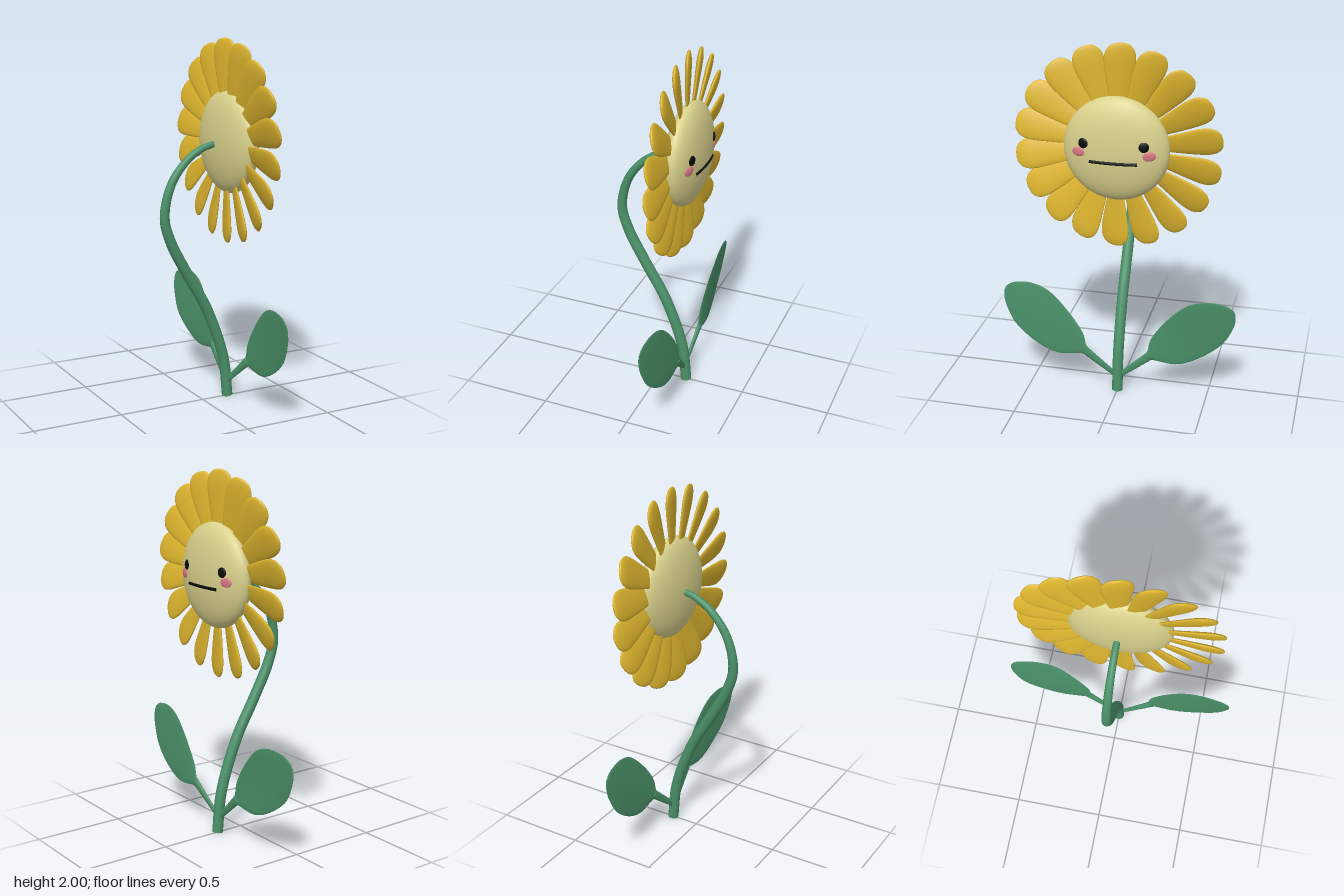
import * as THREE from 'three';
import { ParametricGeometry } from 'three/addons/geometries/ParametricGeometry.js';

const mat = (color, side = THREE.FrontSide) => new THREE.MeshStandardMaterial({ color, side });
const GREEN = mat(0x4a9068, THREE.DoubleSide);
const YELLOW = mat(0xdcb42e);
const CREAM = mat(0xd9d18c);
const BLACK = mat(0x0a0a0a);
const PINK = mat(0xd97885);

const V2 = (a) => a.map(([x, y]) => new THREE.Vector2(x, y));
const HEAD = new THREE.Vector3(0.158, 1.447, 0);
const HEAD_R = 0.281, HEAD_D = 0.095;

function add(parent, name, geometry, material) {
  const m = new THREE.Mesh(geometry, material);
  m.name = name;
  parent.add(m);
  return m;
}

// Point on the front of the flattened head
function onFace(y, z, lift = 0) {
  const k = ((y - HEAD.y) ** 2 + z * z) / HEAD_R ** 2;
  return new THREE.Vector3(HEAD.x + HEAD_D * Math.sqrt(1 - k) + lift, y, z);
}

// Flattened spot lying on the face
function faceSpot(parent, name, y, z, ry, rz, material) {
  const m = add(parent, name, new THREE.SphereGeometry(1, 24, 14), material);
  const p = onFace(y, z);
  m.position.copy(p);
  const n = new THREE.Vector3((p.x - HEAD.x) / HEAD_D ** 2, (y - HEAD.y) / HEAD_R ** 2, z / HEAD_R ** 2).normalize();
  m.quaternion.setFromUnitVectors(new THREE.Vector3(1, 0, 0), n);
  m.scale.set(0.007, ry, rz);
}

// Curved stem, thinner towards the head
function buildStem(parent) {
  const path = new THREE.CatmullRomCurve3([
    [0.157, 0.005], [0.13, 0.23], [0.027, 0.52], [-0.095, 0.735], [-0.195, 0.925],
    [-0.23, 1.06], [-0.19, 1.235], [-0.095, 1.36], [0.0, 1.42], [0.09, 1.443],
  ].map(([x, y]) => new THREE.Vector3(x, y, 0)));
  const n = 80, sides = 16;
  const g = new THREE.TubeGeometry(path, n, 0.03, sides);
  const pos = g.attributes.position, v = new THREE.Vector3();
  for (let i = 0; i <= n; i++) {
    const c = path.getPointAt(i / n);
    const s = 1 - 0.42 * Math.max(0, (i / n - 0.55) / 0.45);
    for (let j = 0; j <= sides; j++) {
      const k = i * (sides + 1) + j;
      v.fromBufferAttribute(pos, k).sub(c).multiplyScalar(s).add(c);
      pos.setXYZ(k, v.x, v.y, v.z);
    }
  }
  add(parent, 'stem', g, GREEN);
  const cap = add(parent, 'stemEnd', new THREE.CircleGeometry(0.03, sides), GREEN);
  cap.position.copy(path.getPointAt(0));
  cap.lookAt(cap.position.clone().sub(path.getTangentAt(0)));
}

// Leaf outline: distance along the leaf, distance across it
const upperEdge = new THREE.SplineCurve(V2([
  [-0.01, 0.02], [0.02, 0.035], [0.081, 0.083], [0.215, 0.127], [0.364, 0.146], [0.47, 0.112], [0.547, 0.04], [0.567, -0.016]]));
const lowerEdge = new THREE.SplineCurve(V2([
  [-0.01, -0.02], [0.012, -0.036], [0.104, -0.122], [0.23, -0.158], [0.384, -0.156], [0.5, -0.104], [0.552, -0.055], [0.567, -0.016]]));

function buildLeaf(parent, side) {
  const leaf = new THREE.Group();
  leaf.name = side > 0 ? 'leftLeaf' : 'rightLeaf';
  parent.add(leaf);
  const a = 0.654, ca = Math.cos(a), sa = Math.sin(a);

  // Thin lens-shaped blade with a gentle bend or twist
  const blade = new ParametricGeometry((u, v, out) => {
    const phi = v * Math.PI * 2 * side;
    const p = lowerEdge.getPoint(u).lerp(upperEdge.getPoint(u), (1 + Math.cos(phi)) / 2);
    const s = p.x / 0.567;
    const bend = side > 0 ? 0.178 - 0.038 * s * s : 0.163 + 0.14 * p.y * Math.min(1, Math.max(0, s) * 1.6);
    const thick = 0.008 * Math.sqrt(Math.max(0, 1 - u * u));
    out.set(bend + thick * Math.sin(phi),
      0.245 + p.x * sa + p.y * ca,
      side * (0.18 + p.x * ca - p.y * sa));
  }, 36, 32);
  blade.computeVertexNormals();
  add(leaf, 'leafBlade', blade, GREEN);

  // Stalk widening towards the blade
  const from = new THREE.Vector3(0.147, 0.085, 0);
  const to = new THREE.Vector3(side > 0 ? 0.175 : 0.164, 0.255, side * 0.193);
  const dir = to.clone().sub(from);
  const stalk = add(leaf, 'leafStalk', new THREE.CylinderGeometry(0.026, 0.014, dir.length(), 14), GREEN);
  stalk.position.copy(from).add(to).multiplyScalar(0.5);
  stalk.quaternion.setFromUnitVectors(new THREE.Vector3(0, 1, 0), dir.normalize());
  stalk.scale.x = 0.5;
}

// Ring of flattened, tilted petals
function buildPetals(parent) {
  const petals = new THREE.Group();
  petals.name = 'petals';
  petals.position.set(0.142, HEAD.y, 0);
  parent.add(petals);
  const profile = new THREE.SplineCurve(V2([
    [0, 0.17], [0.03, 0.2], [0.051, 0.28], [0.07, 0.38], [0.081, 0.46], [0.075, 0.51], [0.05, 0.543], [0.022, 0.553], [0, 0.555]]));
  const pts = profile.getPoints(32);
  pts.forEach((p) => { p.x = Math.max(0, p.x); });
  const g = new THREE.LatheGeometry(pts, 24);
  g.scale(0.2, 1, 1);
  g.rotateY(0.28);
  const count = 18;
  for (let i = 0; i < count; i++) {
    const petal = add(petals, 'petal', g, YELLOW);
    petal.rotation.x = -0.03 + (i / count) * Math.PI * 2;
  }
}

export function createModel() {
  const flower = new THREE.Group();
  flower.name = 'flower';

  buildStem(flower);
  buildLeaf(flower, 1);
  buildLeaf(flower, -1);
  buildPetals(flower);

  // Head
  const head = add(flower, 'head', new THREE.SphereGeometry(1, 48, 32), CREAM);
  head.position.copy(HEAD);
  head.scale.set(HEAD_D, HEAD_R, HEAD_R);

  // Face
  for (const s of [1, -1]) {
    faceSpot(flower, 'eye', 1.49, s * 0.159, 0.027, 0.027, BLACK);
    faceSpot(flower, 'cheek', 1.441, s * 0.186, 0.025, 0.035, PINK);
  }
  const mouthPath = new THREE.CatmullRomCurve3(
    Array.from({ length: 9 }, (_, i) => onFace(1.396, 0.125 - i * 0.03125, -0.002)));
  add(flower, 'mouth', new THREE.TubeGeometry(mouthPath, 24, 0.009, 10), BLACK);

  return flower;
}
